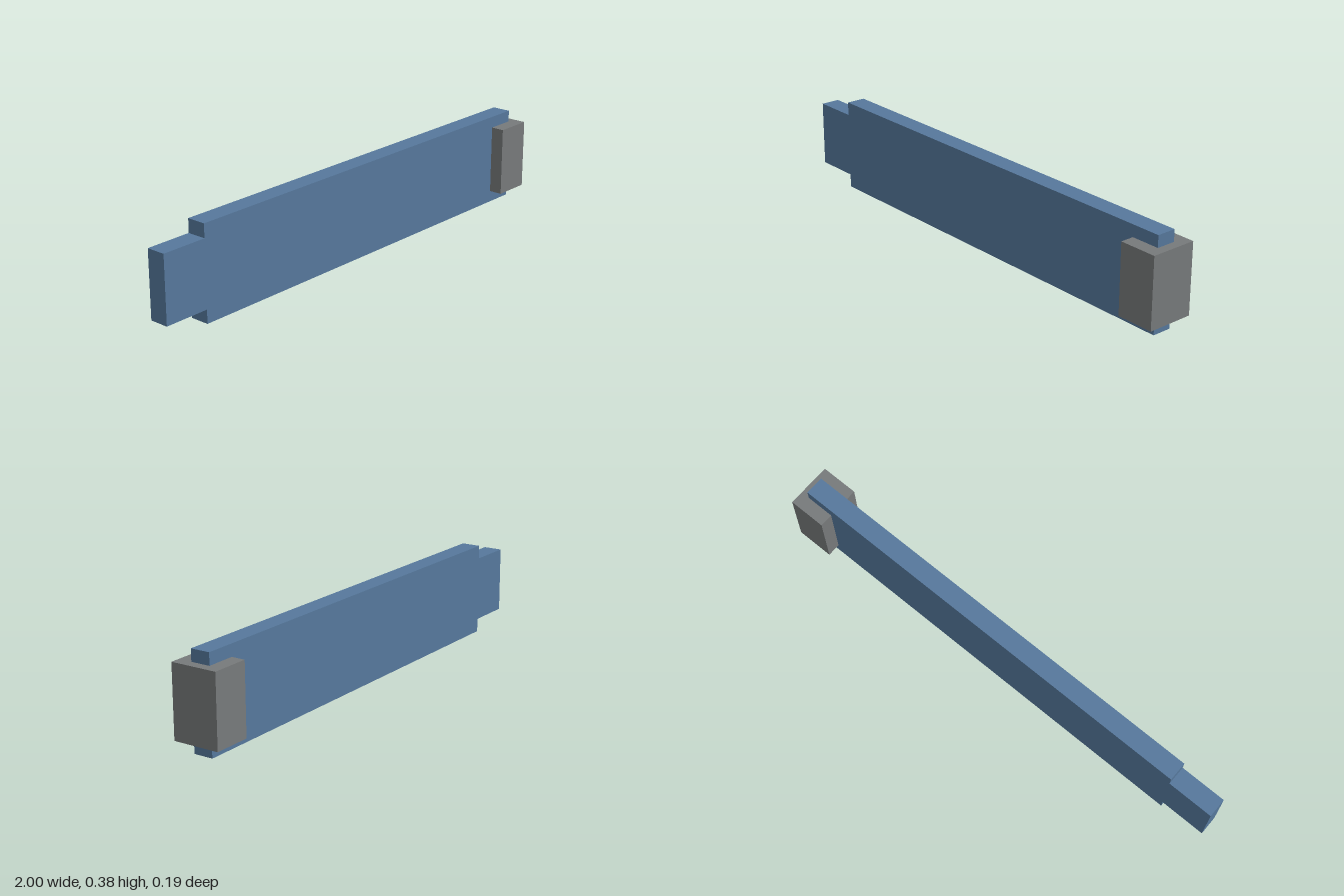
import * as THREE from 'three';

export function createModel() {
  const model = new THREE.Group();
  const blue = new THREE.MeshStandardMaterial({ name: 'steelBlue', color: 0x56789c });
  const grey = new THREE.MeshStandardMaterial({ name: 'midGrey', color: 0x777a7b });
  const midY = 0.1875;

  // Plank with a narrower tongue at its right end
  const outline = [
    [-1, -0.133], [-0.812, -0.133], [-0.812, -midY], [0.963, -midY],
    [0.963, midY], [-0.812, midY], [-0.812, 0.133], [-1, 0.133],
  ].map(([x, y]) => new THREE.Vector2(x, y));
  const depth = 0.078;
  const plankGeometry = new THREE.ExtrudeGeometry(new THREE.Shape(outline), { depth, bevelEnabled: false });
  plankGeometry.translate(0, midY, -depth / 2);
  const plank = new THREE.Mesh(plankGeometry, blue);
  plank.name = 'plank';
  model.add(plank);

  // Block wrapped around the left end
  const block = new THREE.Mesh(new THREE.BoxGeometry(0.154, 0.281, 0.188), grey);
  block.name = 'endBlock';
  block.position.set(0.923, midY, 0);
  model.add(block);

  return model;
}
